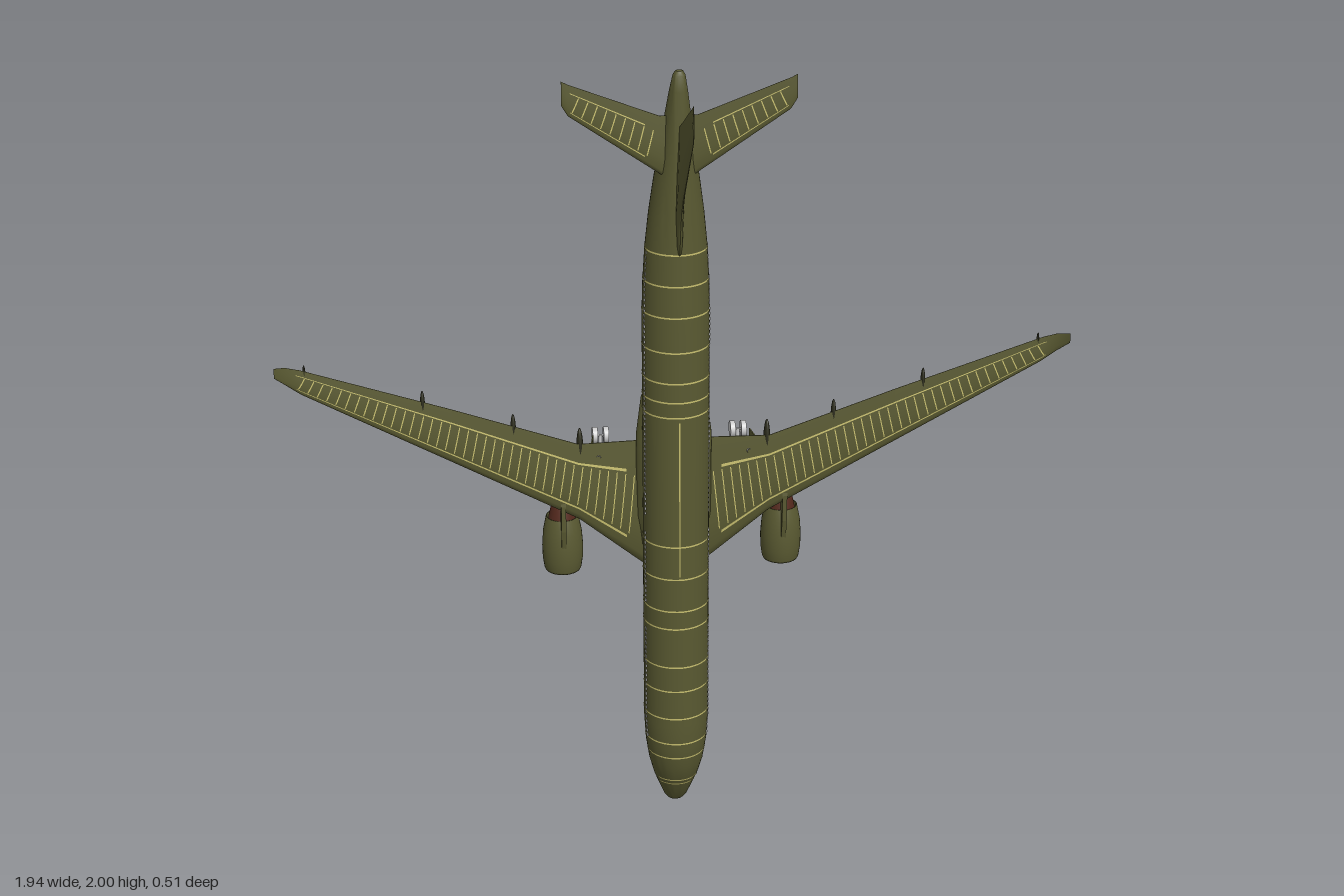
import * as THREE from 'three';
import { mergeGeometries, toCreasedNormals } from 'three/addons/utils/BufferGeometryUtils.js';

const V = (x, y, z) => new THREE.Vector3(x, y, z);
const paint = (color, side = THREE.FrontSide) => new THREE.MeshStandardMaterial({ color, side });
const OLIVE = paint(0x5a5a32), DARK = paint(0x2c2c1c), RUST = paint(0x552a1e, THREE.DoubleSide);
const SKIN = paint(0x5a5a32, THREE.DoubleSide), YELLOW = paint(0xc9c070, THREE.DoubleSide);
const GREY = paint(0xcccccc), WINDOW = paint(0xe4e4e4);

// Linear lookup in rows of [key, a, b, ...]
function lookup(rows, k) {
  let i = 0;
  while (i < rows.length - 2 && k > rows[i + 1][0]) i++;
  const t = (k - rows[i][0]) / (rows[i + 1][0] - rows[i][0]);
  return rows[i].map((v, j) => v + (rows[i + 1][j] - v) * t);
}

// Closed skin through rings of points, turned so that faces point outward
function loft(rings, crease = 0.7) {
  const n = rings[0].length, pts = rings.flat(), idx = [];
  for (let i = 0; i < rings.length - 1; i++)
    for (let j = 0; j < n; j++) {
      const a = i * n + j, b = i * n + (j + 1) % n;
      idx.push(a, b, b + n, a, b + n, a + n);
    }
  const last = (rings.length - 1) * n;
  for (let j = 1; j < n - 1; j++) idx.push(0, j + 1, j, last, last + j, last + j + 1);
  let volume = 0;
  for (let i = 0; i < idx.length; i += 3)
    volume += pts[idx[i]].dot(V(0, 0, 0).crossVectors(pts[idx[i + 1]], pts[idx[i + 2]]));
  if (volume < 0) idx.reverse();
  const g = new THREE.BufferGeometry().setFromPoints(pts);
  g.setIndex(idx);
  return toCreasedNormals(g, crease);
}

// Open strip between two rows of points
function ribbon(a, b) {
  const p = [];
  for (let i = 0; i < a.length - 1; i++) p.push(a[i], b[i], b[i + 1], a[i], b[i + 1], a[i + 1]);
  const g = new THREE.BufferGeometry().setFromPoints(p);
  g.computeVertexNormals();
  return g;
}

// Fuselage stations: y, half width, top z, bottom z
const BODY = [[0, .006, -.098, -.108], [.006, .019, -.088, -.119], [.02, .03, -.077, -.128], [.05, .042, -.06, -.141],
  [.09, .057, -.038, -.153], [.14, .07, -.018, -.163], [.2, .079, -.008, -.17], [.27, .083, -.005, -.172],
  [1.38, .083, -.005, -.172], [1.46, .081, -.005, -.167], [1.55, .076, -.005, -.158], [1.64, .067, -.005, -.147],
  [1.72, .056, -.005, -.134], [1.8, .044, -.005, -.115], [1.88, .032, -.005, -.088], [1.95, .022, -.005, -.056],
  [1.99, .015, -.006, -.034], [2, .009, -.01, -.026]];
function hoop(rows, y, grow = 0, from = 0, sweep = Math.PI * 2, n = 40) {
  const [, w, top, bottom] = lookup(rows, y), out = [];
  for (let i = 0; i < n; i++) {
    const a = from + sweep * i / n;
    out.push(V((w + grow) * Math.cos(a), y, (top + bottom) / 2 + ((top - bottom) / 2 + grow) * Math.sin(a)));
  }
  return out;
}
const bodyBand = (y, from = 0, sweep = Math.PI * 2 * 40 / 39) =>
  ribbon(hoop(BODY, y, .001, from, sweep), hoop(BODY, y + .004, .001, from, sweep));

// Wing stations: x, leading y, trailing y, z, half thickness
const WING = [[0, .62, 1.02, -.147, .022], [.085, .685, 1.02, -.142, .02], [.24, .82, 1.025, -.124, .013],
  [.55, 1.003, 1.145, -.098, .008], [.91, 1.215, 1.278, -.068, .004], [.945, 1.245, 1.29, -.058, .003], [.97, 1.275, 1.3, -.03, .0015]];
const TAIL = [[0, 1.71, 1.89, -.035, .009], [.045, 1.75, 1.89, -.029, .008], [.26, 1.905, 1.98, -.001, .003], [.275, 1.93, 1.988, 0, .0015]];
// Aerofoil: chord fraction, thickness fraction
const FOIL = [[0, 0], [.02, .36], [.08, .68], [.3, 1], [.6, .75], [1, .06]];
function foilPoint(rows, x, c, face, lift = 0) {
  const [, lead, trail, z, t] = lookup(rows, x);
  return V(x, lead + (trail - lead) * c, z + face * (t * lookup(FOIL, c)[1] + lift));
}
const foilRing = (rows, x) => [...FOIL.map(f => foilPoint(rows, x, f[0], 1)),
  ...FOIL.slice(1).reverse().map(f => foilPoint(rows, x, f[0], -1))];
const mirrored = (rings, s) => rings.map(r => r.map(p => V(p.x * s, p.y, p.z)));

// Rib and spar lines lying on both faces of a wing
function foilLines(rows, s, x0, x1, ribs) {
  const out = [], cs = [.2, .3, .45, .6, .72];
  const flip = row => row.map(p => V(p.x * s, p.y, p.z));
  for (const face of [1, -1]) {
    for (let i = 0; i < ribs; i++) {
      const x = x0 + (x1 - x0) * i / (ribs - 1);
      const line = d => flip(cs.map(c => foilPoint(rows, x - c * .03 + d, c, face, .0008)));
      out.push(ribbon(line(0), line(.0025)));
    }
    for (const c of [.15, .74]) {
      const xs = [x0, ...rows.map(r => r[0]).filter(x => x > x0 && x < x1), x1];
      const line = d => flip(xs.map(x => foilPoint(rows, x, c + d, face, .0008)));
      out.push(ribbon(line(0), line(.025)));
    }
  }
  return out;
}

// Flat plate drawn in (z, y), given a thickness in x
function plate(points, thick) {
  const g = new THREE.ExtrudeGeometry(new THREE.Shape(points.map(p => new THREE.Vector2(...p))), { depth: thick, bevelEnabled: false });
  return g.translate(0, 0, -thick / 2).rotateY(-Math.PI / 2);
}
const rod = (a, b, r) => new THREE.TubeGeometry(new THREE.LineCurve3(V(...a), V(...b)), 1, r, 8);
const wheel = (x, y, z, r, w) => new THREE.CylinderGeometry(r, r, w, 18).rotateZ(Math.PI / 2).translate(x, y, z);
const lathe = (pts) => new THREE.LatheGeometry(pts.map(p => new THREE.Vector2(...p)), 32);

export function createModel() {
  const model = new THREE.Group();
  const add = (name, geo, mat, parent = model) => {
    const m = new THREE.Mesh(geo, mat);
    m.name = name;
    parent.add(m);
    return m;
  };

  // Body and belly fairing
  add('fuselage', loft(BODY.map(r => hoop(BODY, r[0]))), OLIVE);
  const BELLY = [[.64, .03, -.11, -.165], [.72, .078, -.09, -.176], [.82, .094, -.085, -.181], [1.04, .095, -.085, -.181],
    [1.14, .082, -.09, -.177], [1.25, .03, -.11, -.165]];
  add('bellyFairing', loft(BELLY.map(r => hoop(BELLY, r[0]))), OLIVE);

  // Fin: z, leading y, trailing y, half thickness
  const FIN = [[-.03, 1.52, 1.86, .009], [-.004, 1.55, 1.87, .009], [.012, 1.615, 1.878, .008], [.03, 1.665, 1.887, .008],
    [.06, 1.71, 1.9, .007], [.245, 1.9, 1.99, .003], [.257, 1.925, 1.997, .0015]];
  add('fin', loft(FIN.map(([z, lead, trail, t]) => {
    const at = side => f => V(side * t * f[1], lead + (trail - lead) * f[0], z);
    return [...FOIL.map(at(1)), ...FOIL.slice(1).reverse().map(at(-1))];
  })), OLIVE);

  // Panel lines on the body
  const lines = [.17, .215, .29, .37, .44, .55, .6, .69, .78, 1.13, 1.17, 1.22, 1.3, 1.39, 1.47, 1.55].map(y => bodyBand(y));
  lines.push(bodyBand(.075, .5, Math.PI - 1), bodyBand(.09, .5, Math.PI - 1));
  lines.push(ribbon([V(-.0015, .7, -.004), V(-.0015, 1.12, -.004)], [V(.0015, .7, -.004), V(.0015, 1.12, -.004)]));
  add('bodyPanelLines', mergeGeometries(lines), YELLOW);

  // Cabin windows
  const panes = [];
  for (let y = .22; y < 1.55; y += .0135) {
    if (Math.abs(y - .57) < .03 || Math.abs(y - .83) < .02) continue;
    const [, w] = lookup(BODY, y);
    for (const s of [-1, 1]) panes.push(new THREE.BoxGeometry(.004, .006, .009).translate(s * (w * .962 - .0005), y, -.066));
  }
  add('cabinWindows', mergeGeometries(panes), WINDOW);

  for (const s of [1, -1]) {
    const side = s > 0 ? 'left' : 'right';

    // Wing and tailplane
    add(side + 'Wing', loft(mirrored(WING.map(r => foilRing(WING, r[0])), s)), OLIVE);
    add(side + 'Tailplane', loft(mirrored(TAIL.map(r => foilRing(TAIL, r[0])), s)), OLIVE);
    add(side + 'WingLines', mergeGeometries(foilLines(WING, s, .12, .92, 38)), YELLOW);
    add(side + 'TailplaneLines', mergeGeometries(foilLines(TAIL, s, .08, .255, 9)), YELLOW);

    // Flap track fairings
    for (const [x, size] of [[.235, 1.3], [.4, 1], [.62, .9], [.9, .5]]) {
      const [, , trail, z] = lookup(WING, x);
      const pod = add(side + 'FlapFairing', new THREE.SphereGeometry(1, 12, 10), DARK);
      pod.scale.set(.007 * size, .05 * size, .011 * size);
      pod.position.set(s * x, trail - .02 * size, z - .008 * size);
    }

    // Engine
    const engine = new THREE.Group();
    engine.name = side + 'Engine';
    engine.position.set(s * .28, 0, -.172);
    model.add(engine);
    add('nacelle', lathe([[.037, .72], [.037, .685], [.04, .667], [.044, .662], [.047, .668], [.051, .695], [.052, .73],
      [.049, .77], [.041, .81], [.038, .81], [.038, .78]]), SKIN, engine);
    add('fan', new THREE.CylinderGeometry(.038, .038, .004, 32).translate(0, .71, 0), RUST, engine);
    add('spinner', new THREE.ConeGeometry(.013, .025, 20).rotateX(Math.PI).translate(0, .697, 0), DARK, engine);
    add('exhaust', lathe([[.038, .78], [.034, .81], [.027, .84], [.022, .857], [.017, .855], [.01, .88], [0, .905]]), RUST, engine);
    add(side + 'Pylon', plate([[-.128, .7], [-.112, .79], [-.11, .86], [-.125, .95], [-.15, .87], [-.165, .8], [-.15, .72]], .012)
      .translate(s * .28, 0, 0), OLIVE);

    // Main landing gear: strut, braces, bogie and four wheels
    const gear = [rod([s * .19, .985, -.12], [s * .175, .975, -.23], .006), rod([s * .12, .975, -.15], [s * .177, .975, -.205], .003),
      rod([s * .19, .92, -.13], [s * .177, .97, -.2], .003), rod([s * .175, .948, -.23], [s * .175, 1.002, -.23], .005)];
    for (const y of [.95, 1]) {
      gear.push(rod([s * .175 - .016, y, -.23], [s * .175 + .016, y, -.23], .003));
      for (const d of [-.014, .014]) gear.push(wheel(s * .175 + d, y, -.23, .021, .013));
    }
    add(side + 'MainGear', mergeGeometries(gear), GREY);
    add(side + 'MainGearDoor', new THREE.BoxGeometry(.003, .09, .05).rotateY(s * .15).translate(s * .202, .975, -.158), OLIVE);
    add(side + 'WheelBay', new THREE.BoxGeometry(.03, .1, .004).translate(s * .04, .98, -.173), DARK);

    // Nose gear door
    add(side + 'NoseGearDoor', new THREE.BoxGeometry(.002, .09, .022).translate(s * .016, .215, -.177), OLIVE);
  }

  // Nose landing gear
  add('noseGear', mergeGeometries([rod([0, .185, -.16], [0, .183, -.232], .004), rod([0, .23, -.165], [0, .185, -.205], .0025),
    rod([-.01, .183, -.232], [.01, .183, -.232], .0025), wheel(-.009, .183, -.232, .014, .009), wheel(.009, .183, -.232, .014, .009)]), GREY);
  return model;
}
